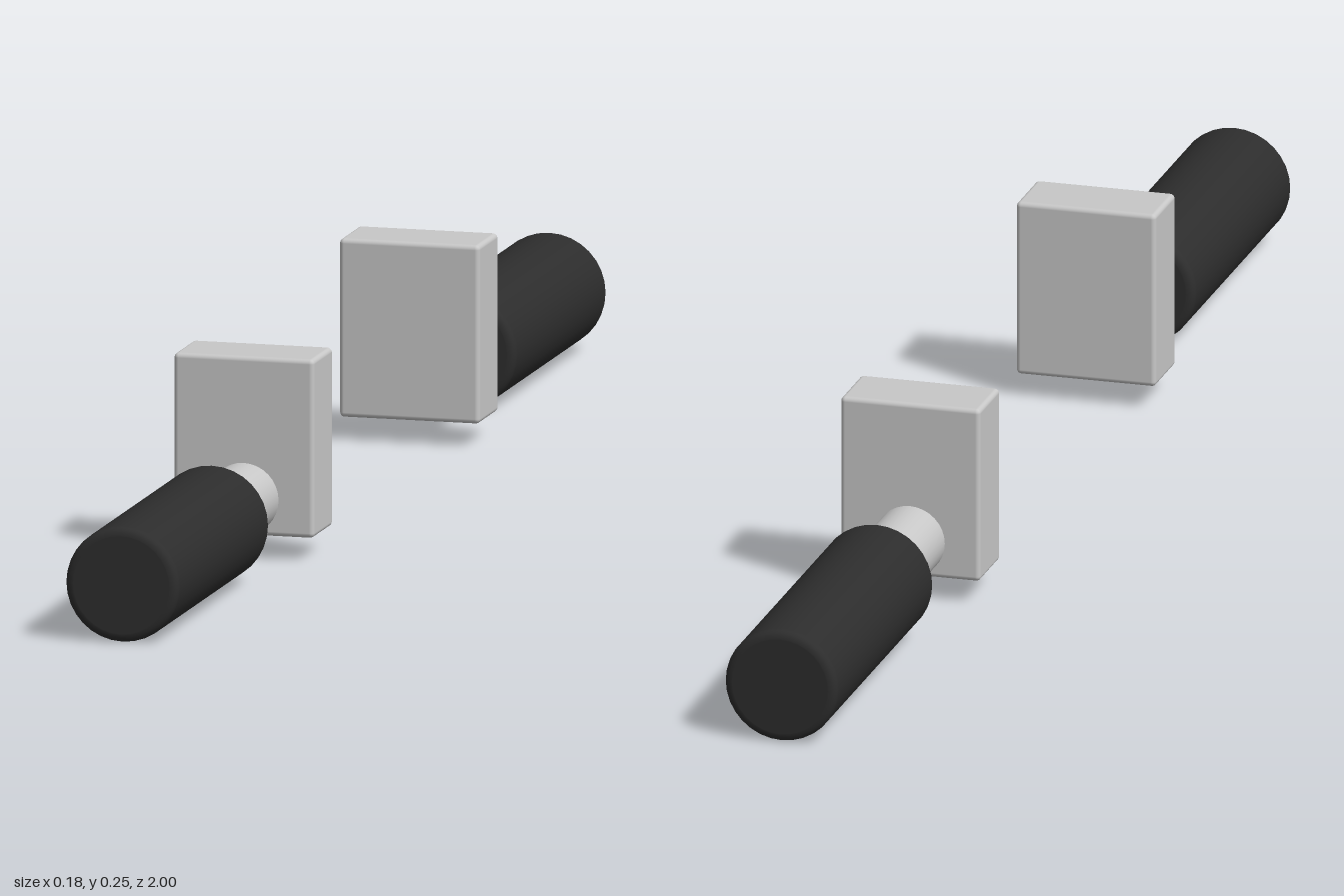
import * as THREE from 'three';
import { RoundedBoxGeometry } from 'three/addons/geometries/RoundedBoxGeometry.js';

const AXIS_Y = 0.0735; // height of the handle axis

// Solid cylinder along +z from z0 to z1 with rounded rims
function roundedRod(radius, z0, z1, bevel, sides) {
  const pts = [new THREE.Vector2(0, z0), new THREE.Vector2(radius - bevel - 0.001, z0)];
  const arc = (zc, start) => {
    for (let i = 0; i <= 4; i++) {
      const a = start + (i / 4) * Math.PI / 2;
      pts.push(new THREE.Vector2(radius - bevel + Math.cos(a) * bevel, zc + Math.sin(a) * bevel));
    }
  };
  arc(z0 + bevel, -Math.PI / 2);
  pts.push(new THREE.Vector2(radius, z0 + bevel + 0.001), new THREE.Vector2(radius, z1 - bevel - 0.001));
  arc(z1 - bevel, 0);
  pts.push(new THREE.Vector2(radius - bevel - 0.001, z1), new THREE.Vector2(0, z1));
  return new THREE.LatheGeometry(pts, sides).rotateX(Math.PI / 2);
}

export function createModel() {
  const metal = new THREE.MeshStandardMaterial({ color: 0xc8c8c8 });
  metal.name = 'light grey metal';
  const rubber = new THREE.MeshStandardMaterial({ color: 0x2d2d2d });
  rubber.name = 'black rubber';

  const model = new THREE.Group();
  model.name = 'handlePair';

  const add = (group, name, geometry, material, y, z) => {
    const mesh = new THREE.Mesh(geometry, material);
    mesh.name = name;
    mesh.position.set(0, y, z);
    group.add(mesh);
  };

  // Two identical handles facing away from each other
  for (const [name, turn] of [['frontHandle', 0], ['backHandle', Math.PI]]) {
    const handle = new THREE.Group();
    handle.name = name;
    handle.rotation.y = turn;

    // Mounting block
    add(handle, 'mountBlock', new RoundedBoxGeometry(0.18, 0.225, 0.09, 3, 0.006), metal, 0.143, 0.385);

    // Short shaft between block and grip
    const shaft = new THREE.CylinderGeometry(0.045, 0.045, 0.17, 32, 1, true).rotateX(Math.PI / 2);
    add(handle, 'shaft', shaft, metal, AXIS_Y + 0.003, 0.505);

    // Grip with rounded ends
    add(handle, 'grip', roundedRod(0.0725, 0.57, 1, 0.01, 32), rubber, AXIS_Y, 0);

    model.add(handle);
  }
  return model;
}
